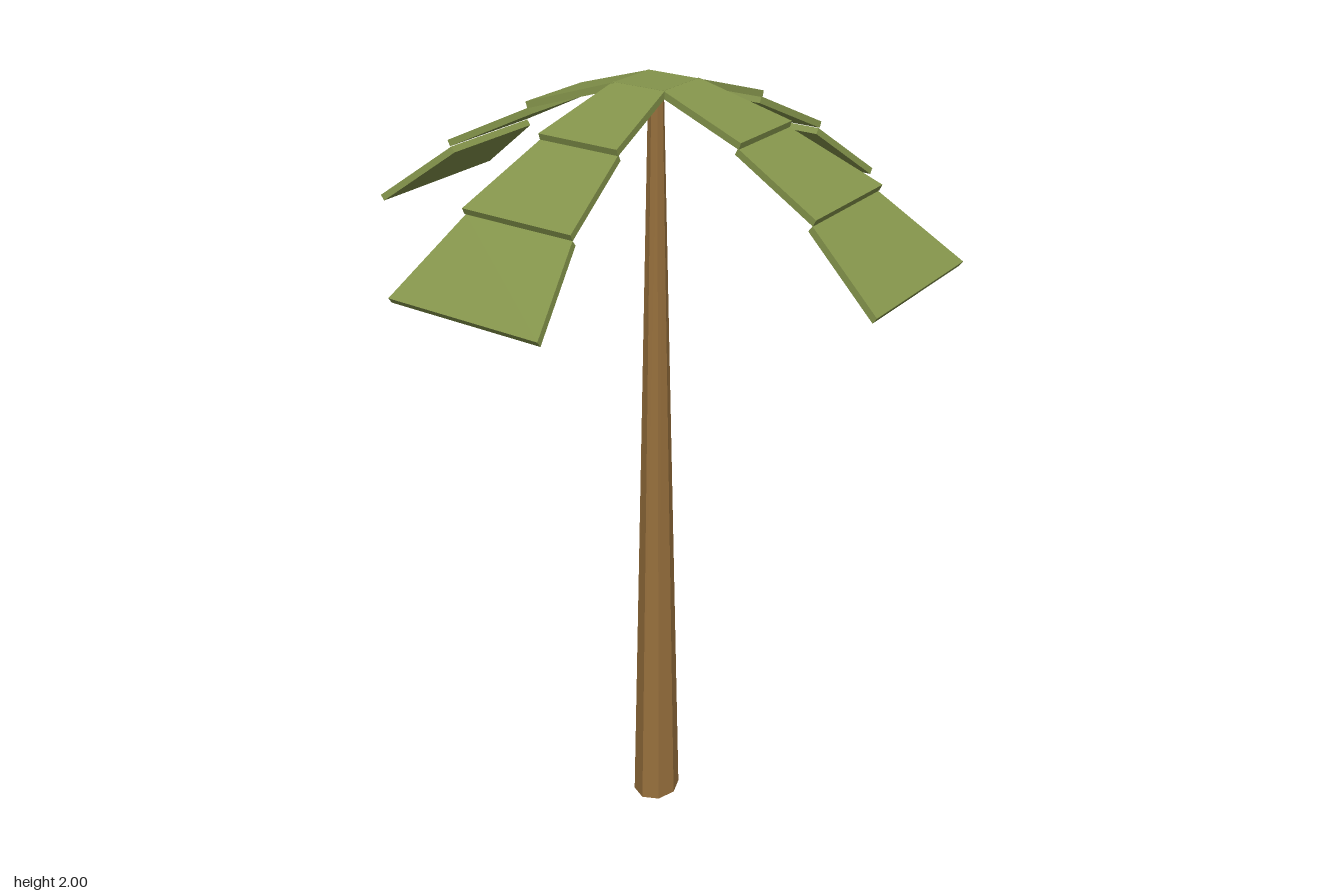
import * as THREE from 'three';

const leafGreen = new THREE.MeshStandardMaterial({ name: 'leafGreen', color: 0x84944b, flatShading: true });
const barkBrown = new THREE.MeshStandardMaterial({ name: 'barkBrown', color: 0x966f3c, flatShading: true });

const THICKNESS = 0.016;

// Widening slab whose top runs from (x0, y0) to (x1, y1), with half widths w0 and w1
function slab([x0, y0, w0], [x1, y1, w1]) {
  const geometry = new THREE.BoxGeometry(1, 1, 1);
  const p = geometry.attributes.position;
  const length = Math.hypot(x1 - x0, y1 - y0);
  const nx = (y0 - y1) / length, ny = (x1 - x0) / length;
  for (let i = 0; i < p.count; i++) {
    const t = p.getX(i) + 0.5;
    const depth = (0.5 - p.getY(i)) * THICKNESS;
    const side = Math.sign(p.getZ(i));
    p.setXYZ(i,
      x0 + (x1 - x0) * t - nx * depth,
      y0 + (y1 - y0) * t - ny * depth,
      side * (w0 + (w1 - w0) * t));
  }
  geometry.computeVertexNormals();
  return geometry;
}

export function createModel() {
  const model = new THREE.Group();
  model.name = 'palmTree';

  // Tapered eight-sided trunk, slightly oval at the foot
  const height = 1.985;
  const trunkGeometry = new THREE.CylinderGeometry(0.018, 0.069, height, 8);
  const p = trunkGeometry.attributes.position;
  for (let i = 0; i < p.count; i++) {
    if (p.getY(i) < 0) p.setX(i, p.getX(i) * 0.85 + 0.002);
  }
  trunkGeometry.computeVertexNormals();
  const trunk = new THREE.Mesh(trunkGeometry, barkBrown);
  trunk.name = 'trunk';
  trunk.position.y = height / 2;
  model.add(trunk);

  // Flat square crown where the fronds meet
  const crown = new THREE.Mesh(new THREE.BoxGeometry(0.134, THICKNESS, 0.134), leafGreen);
  crown.name = 'crown';
  crown.position.y = 2 - THICKNESS / 2;
  model.add(crown);

  // Four drooping fronds, each of three stepped slabs
  const segments = [
    [[0.066, 2.0, 0.07], [0.292, 1.93, 0.105]],
    [[0.284, 1.917, 0.104], [0.505, 1.813, 0.145]],
    [[0.496, 1.798, 0.143], [0.688, 1.657, 0.2]],
  ].map(([a, b]) => slab(a, b));
  for (let k = 0; k < 4; k++) {
    const frond = new THREE.Group();
    frond.name = `frond${k + 1}`;
    segments.forEach((geometry, i) => {
      const mesh = new THREE.Mesh(geometry, leafGreen);
      mesh.name = `frondSegment${i + 1}`;
      mesh.position.z = k % 2 ? 0 : -0.003;
      frond.add(mesh);
    });
    frond.rotation.y = k * Math.PI / 2;
    model.add(frond);
  }

  return model;
}
